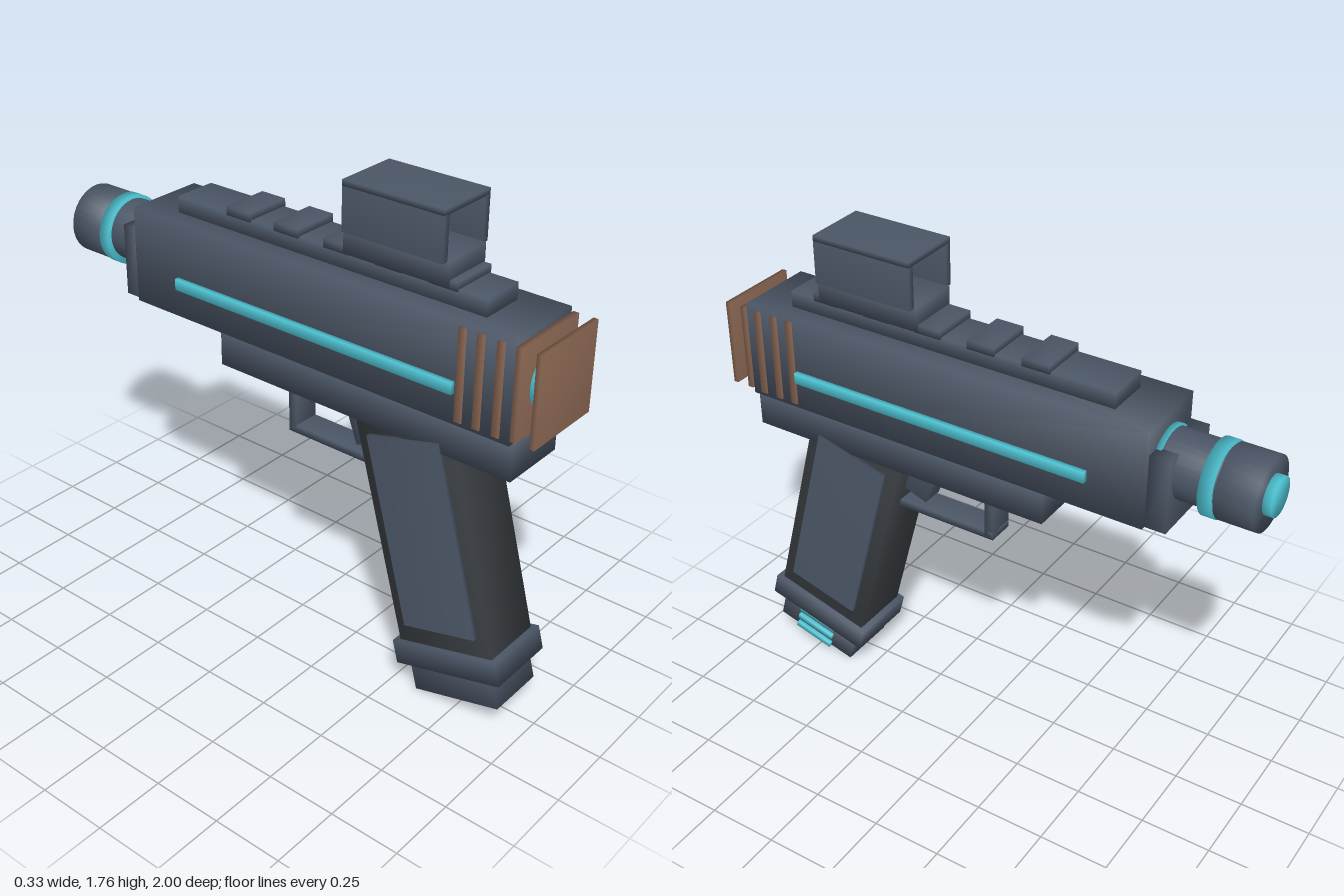
import * as THREE from 'three';
import { mergeVertices } from 'three/addons/utils/BufferGeometryUtils.js';

const paint = (name, color) => {
  const m = new THREE.MeshStandardMaterial({ color });
  m.name = name;
  return m;
};

export function createModel() {
  const slate = paint('slate', 0x4b5666);
  const charcoal = paint('charcoal', 0x383c40);
  const cyan = paint('cyan', 0x4fc6d6);
  const copper = paint('copper', 0x8f6a55);
  const model = new THREE.Group();
  model.name = 'toyBlaster';

  // Weld corners so the shading rolls softly over the edges
  const soften = (g) => {
    g.deleteAttribute('normal');
    g.deleteAttribute('uv');
    g = mergeVertices(g);
    g.computeVertexNormals();
    return g;
  };
  const add = (name, geometry, material, parent = model) => {
    const mesh = new THREE.Mesh(soften(geometry), material);
    mesh.name = name;
    parent.add(mesh);
    return mesh;
  };
  // Box given by its x, y and z ranges
  const box = (name, material, [x0, x1], [y0, y1], [z0, z1], parent) => {
    const g = new THREE.BoxGeometry(x1 - x0, y1 - y0, z1 - z0);
    g.translate((x0 + x1) / 2, (y0 + y1) / 2, (z0 + z1) / 2);
    return add(name, g, material, parent);
  };
  const sym = (w) => [-w, w];
  // Cylinder lying along z
  const tube = (name, material, r, y, z0, z1) => {
    const g = new THREE.CylinderGeometry(r, r, z1 - z0, 32);
    g.rotateX(Math.PI / 2).translate(0, y, (z0 + z1) / 2);
    return add(name, g, material);
  };

  // Main housing
  box('body', slate, sym(0.147), [1.1, 1.447], [-0.625, 0.912]);
  box('underFrame', slate, sym(0.125), [0.965, 1.1], [-0.255, 0.912]);
  box('noseBlock', slate, sym(0.13), [1.1, 1.36], [-0.697, -0.625]);
  for (const s of [-1, 1]) {
    const strip = box('sideStrip', cyan, sym(0.011), [1.206, 1.246], [-0.425, 0.71]);
    strip.position.x = s * 0.153;
  }

  // Barrel
  tube('barrel', slate, 0.11, 1.28, -0.85, -0.6);
  tube('barrelCollar', cyan, 0.118, 1.28, -0.642, -0.62);
  tube('barrelRing', cyan, 0.127, 1.275, -0.83, -0.787);
  tube('muzzle', slate, 0.124, 1.275, -0.97, -0.838);
  tube('muzzleLens', cyan, 0.066, 1.275, -1, -0.965);

  // Rear plates, power cell and cooling ribs
  box('rearPlate', copper, sym(0.152), [1.12, 1.43], [0.983, 1]);
  box('innerRearPlate', copper, sym(0.152), [1.12, 1.43], [0.915, 0.935]);
  tube('powerCell', cyan, 0.094, 1.275, 0.91, 0.985);
  for (const z of [0.864, 0.795, 0.73])
    box('coolingRib', copper, sym(0.153), [1.115, 1.43], [z - 0.013, z + 0.013]);

  // Top rail
  box('topRail', slate, sym(0.08), [1.44, 1.505], [-0.477, 0.765]);
  for (let i = 0; i < 5; i++) {
    const z = -0.2 + i * 0.203;
    box('railTooth', slate, sym(0.088), [1.5, 1.53], [z - 0.05, z + 0.05]);
  }

  // Open sight with a floating screen
  box('sightBase', slate, sym(0.093), [1.505, 1.592], [0.24, 0.635]);
  box('sightRoof', slate, sym(0.115), [1.735, 1.755], [0.25, 0.625]);
  for (const s of [-1, 1]) {
    const wall = box('sightWall', slate, sym(0.012), [1.586, 1.737], [0.25, 0.625]);
    wall.position.x = s * 0.103;
  }
  box('sightScreen', cyan, sym(0.081), [1.605, 1.722], [0.428, 0.437]);

  // Raked grip, built upright around its collar
  const grip = new THREE.Group();
  grip.name = 'grip';
  grip.position.set(0, 0.187, 0.721);
  grip.rotation.x = -Math.PI / 12;
  model.add(grip);
  box('gripCore', charcoal, sym(0.115), [0, 0.87], sym(0.187), grip);
  for (const s of [-1, 1]) {
    const panel = box('gripPanel', slate, sym(0.011), [0.114, 0.804], sym(0.142), grip);
    panel.position.x = s * 0.121;
  }
  box('gripCollar', slate, sym(0.132), sym(0.043), sym(0.208), grip);
  box('gripBase', slate, sym(0.109), [-0.149, 0], sym(0.168), grip);
  for (let i = 0; i < 3; i++) {
    const y = -0.054 - i * 0.043;
    box('chargeLight', cyan, [0.1, 0.123], [y - 0.011, y + 0.011], [-0.075, 0.085], grip);
  }

  // Trigger and guard
  const trigger = box('trigger', slate, sym(0.04), sym(0.11), sym(0.048));
  trigger.position.set(0, 0.928, 0.273);
  trigger.rotation.x = -Math.PI / 9;
  box('guardPost', slate, sym(0.05), [0.77, 0.97], [-0.018, 0.014]);
  box('guardBar', slate, sym(0.05), [0.762, 0.79], [-0.018, 0.39]);

  return model;
}
